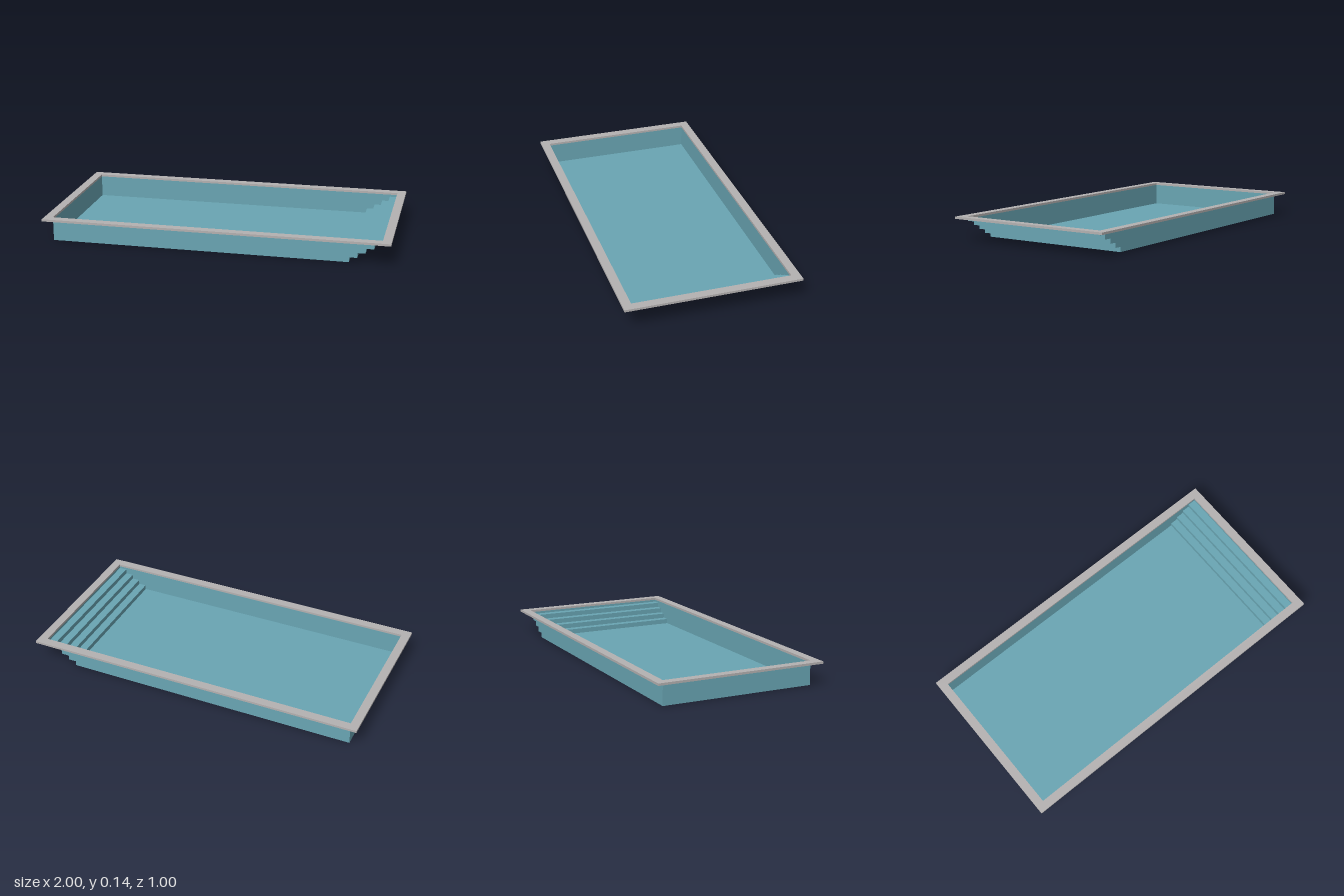
import * as THREE from 'three';

export function createModel() {
  const model = new THREE.Group();
  model.name = 'swimmingPool';
  const poolBlue = new THREE.MeshStandardMaterial({ color: 0x69a5b3, side: THREE.DoubleSide });
  poolBlue.name = 'poolBlue';
  const copingGrey = new THREE.MeshStandardMaterial({ color: 0xb4b1b1 });
  copingGrey.name = 'copingGrey';

  const halfX = 0.95, halfZ = 0.45, rimBottom = 0.126, rimTop = 0.139;
  const add = (name, geometry, material) => {
    const mesh = new THREE.Mesh(geometry, material);
    mesh.name = name;
    model.add(mesh);
    return mesh;
  };

  // Long section of the basin: end wall, floor, then a flight of steps
  const profile = [[-halfX, rimBottom], [-halfX, 0], [0.767, 0]];
  const steps = 4, tread = (halfX - 0.767) / steps, riser = 0.0283;
  for (let i = 1; i <= steps; i++) {
    const x = 0.767 + (i - 1) * tread;
    profile.push([x, i * riser], [x + tread, i * riser]);
  }
  profile.push([halfX, rimBottom]);

  // One flat panel across the basin for each segment of the section
  for (let i = 0; i < profile.length - 1; i++) {
    const [x0, y0] = profile[i], [x1, y1] = profile[i + 1];
    const panel = new THREE.PlaneGeometry(Math.hypot(x1 - x0, y1 - y0), halfZ * 2);
    panel.rotateX(-Math.PI / 2);
    panel.rotateZ(Math.atan2(y1 - y0, x1 - x0));
    panel.translate((x0 + x1) / 2, (y0 + y1) / 2, 0);
    const name = i === 0 ? 'endWall' : i === 1 ? 'floor' : i % 2 ? 'stepTread' : 'stepRiser';
    add(name, panel, poolBlue);
  }

  // Side walls follow the stepped section
  const section = new THREE.Shape(profile.map(([x, y]) => new THREE.Vector2(x, y)));
  for (const side of [-1, 1]) {
    const wall = add(side > 0 ? 'frontWall' : 'backWall', new THREE.ShapeGeometry(section), poolBlue);
    wall.position.z = side * halfZ;
  }

  // Coping: a flat rectangular frame around the opening
  const rectangle = (path, x, z) => {
    path.moveTo(-x, -z);
    path.lineTo(x, -z);
    path.lineTo(x, z);
    path.lineTo(-x, z);
    path.closePath();
    return path;
  };
  const frame = rectangle(new THREE.Shape(), 1, 0.5);
  frame.holes.push(rectangle(new THREE.Path(), halfX, halfZ));
  const coping = new THREE.ExtrudeGeometry(frame, { depth: rimTop - rimBottom, bevelEnabled: false });
  coping.rotateX(-Math.PI / 2);
  coping.translate(0, rimBottom, 0);
  add('coping', coping, copingGrey);

  return model;
}
